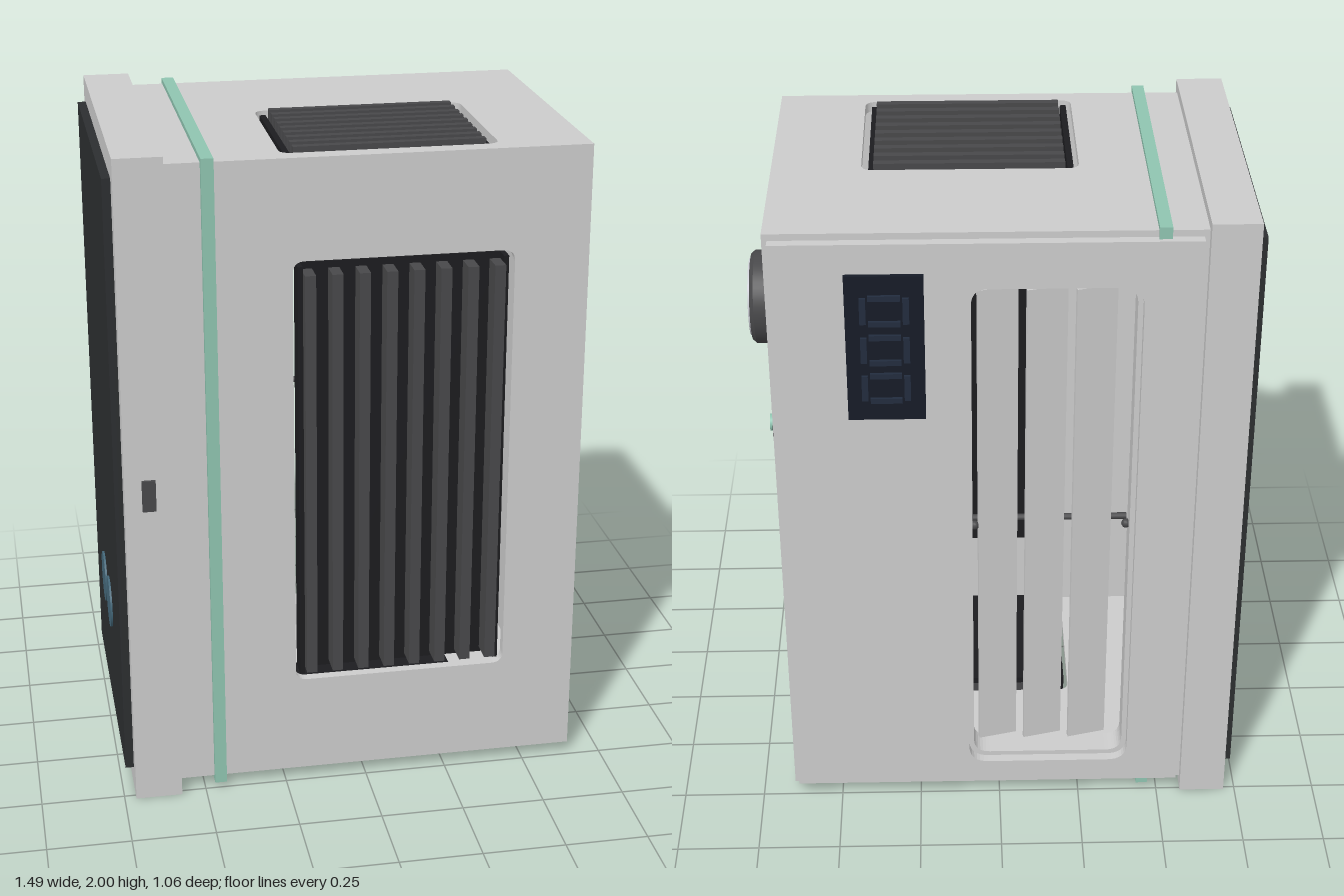
import * as THREE from 'three';

const mat = (color) => new THREE.MeshStandardMaterial({ color });
const GREY = mat(0xcccccc), DARK = mat(0x48484a), BLACK = mat(0x1c1c1f), SLATE = mat(0x2c2e30);
const GREEN = mat(0x8fc4b0), BLUE = mat(0x44687a), FACE = mat(0xcbccd4), SCREEN = mat(0x161b27), SEGMENT = mat(0x222c3e);

export function createModel() {
  const model = new THREE.Group();
  const add = (name, geo, material, parent = model) => {
    const m = new THREE.Mesh(geo, material);
    m.name = name;
    parent.add(m);
    return m;
  };
  // Box given by its limits on each axis
  const box = (name, material, x0, x1, y0, y1, z0, z1, parent) => {
    const m = add(name, new THREE.BoxGeometry(x1 - x0, y1 - y0, z1 - z0), material, parent);
    m.position.set((x0 + x1) / 2, (y0 + y1) / 2, (z0 + z1) / 2);
    return m;
  };
  // Cylinder lying along x
  const disc = (name, material, r, x0, x1, y, z, r1 = r) => {
    const m = add(name, new THREE.CylinderGeometry(r1, r, x1 - x0, 48), material);
    m.rotation.z = -Math.PI / 2;
    m.position.set((x0 + x1) / 2, y, z);
  };
  const trace = (p, x0, x1, y0, y1, r) => {
    if (r === 0) {
      p.moveTo(x0, y0); p.lineTo(x1, y0); p.lineTo(x1, y1); p.lineTo(x0, y1); p.closePath();
      return p;
    }
    p.moveTo(x0 + r, y0);
    p.lineTo(x1 - r, y0); p.quadraticCurveTo(x1, y0, x1, y0 + r);
    p.lineTo(x1, y1 - r); p.quadraticCurveTo(x1, y1, x1 - r, y1);
    p.lineTo(x0 + r, y1); p.quadraticCurveTo(x0, y1, x0, y1 - r);
    p.lineTo(x0, y0 + r); p.quadraticCurveTo(x0, y0, x0 + r, y0);
    return p;
  };
  // Flat panel with a rounded opening, extruded along z
  const panel = (outer, hole, r, depth) => {
    const s = trace(new THREE.Shape(), ...outer, 0);
    s.holes.push(trace(new THREE.Path(), ...hole, r));
    return new THREE.ExtrudeGeometry(s, { depth, bevelEnabled: false, curveSegments: 8 });
  };

  // Housing: hollow box of panels
  const X0 = -0.58, X1 = 0.65, Y0 = 0.035, Y1 = 1.97;
  add('frontPanel', panel([X0, X1, Y0, Y1], [-0.215, 0.43, 0.34, 1.67], 0.035, 0.03), GREY).position.z = 0.455;
  add('rearPanel', panel([X0, X1, Y0, Y1], [-0.385, 0.08, 0.145, 1.795], 0.05, 0.08), GREY).position.z = -0.48;
  add('backPlate', panel([-0.56, 0.635, 0.05, 1.95], [-0.4, 0.095, 0.13, 1.81], 0.06, 0.03), GREY).position.z = -0.51;
  box('sidePanel', GREY, 0.62, X1, Y0, Y1, -0.48, 0.485);
  for (const [name, y] of [['topPanel', Y1 - 0.03], ['bottomPanel', Y0]]) {
    const p = add(name, panel([X0, X1, -0.485, 0.48], [-0.24, 0.39, -0.43, 0.07], 0.035, 0.03), GREY);
    p.rotation.x = -Math.PI / 2;
    p.position.y = y;
  }

  // Front grille
  const front = new THREE.Group();
  front.name = 'frontGrille';
  model.add(front);
  box('grilleBacking', BLACK, -0.2, 0.415, 0.355, 1.65, 0.41, 0.43, front);
  for (const x of [-0.2, 0.4]) box('grilleFrame', BLACK, x, x + 0.015, 0.355, 1.65, 0.42, 0.475, front);
  for (let i = 0; i < 8; i++) {
    const x = -0.167 + i * 0.0788;
    box('grilleBar', DARK, x - 0.016, x + 0.016, 0.37, 1.63, 0.42, 0.5, front);
  }

  // Matching grilles on top and bottom
  for (const [name, mid, dir] of [['topGrille', Y1, 1], ['bottomGrille', Y0, -1]]) {
    const g = new THREE.Group();
    g.name = name;
    model.add(g);
    const span = (a, b) => [Math.min(mid + dir * a, mid + dir * b), Math.max(mid + dir * a, mid + dir * b)];
    box('grilleBacking', BLACK, -0.225, 0.37, ...span(-0.07, -0.05), -0.055, 0.415, g);
    for (const x of [-0.225, 0.352]) box('grilleFrame', BLACK, x, x + 0.018, ...span(-0.06, -0.01), -0.055, 0.415, g);
    for (let i = 0; i < 9; i++) {
      const z = -0.04 + i * 0.0546;
      box('grilleBar', DARK, -0.2, 0.355, ...span(-0.06, 0.011), z - 0.012, z + 0.012, g);
    }
  }

  // Rear louvres turned on upright axes, joined by a rod
  for (const x of [0.005, -0.135, -0.275]) {
    const s = box('louvre', GREY, x - 0.06, x + 0.06, 0.17, 1.77, -0.428, -0.416);
    s.rotation.y = 0.25;
  }
  const rod = add('louvreRod', new THREE.CylinderGeometry(0.01, 0.01, 0.46, 12), DARK);
  rod.rotation.z = Math.PI / 2;
  rod.position.set(-0.152, 0.98, -0.395);
  for (const x of [-0.378, 0.073]) {
    add('rodEnd', new THREE.SphereGeometry(0.014, 12, 8), DARK).position.set(x, 0.98, -0.435);
  }

  // End cap with dark panel, two discs and a latch
  box('endCap', GREY, -0.715, -0.575, 0, 2, -0.51, 0.52);
  box('endPanel', SLATE, -0.74, -0.715, 0.075, 1.93, -0.45, 0.46);
  for (const z of [-0.095, 0.09]) disc('endDisc', BLUE, 0.08, -0.746, -0.74, 0.46, z);
  box('latch', DARK, -0.665, -0.625, 0.955, 1.05, 0.515, 0.53);

  // Band around the housing
  const band = add('band', panel([-0.505, 0.495, 0.02, 1.985], [-0.475, 0.47, 0.045, 1.96], 0.01, 0.036), GREEN);
  band.rotation.y = Math.PI / 2;
  band.position.x = -0.471;

  // Dial and push button on the side
  const DY = 1.55, DZ = -0.043;
  disc('dialBody', DARK, 0.14, X1, 0.715, DY, DZ);
  disc('dialRim', DARK, 0.14, 0.715, 0.727, DY, DZ, 0.13);
  disc('dialFace', FACE, 0.116, 0.72, 0.733, DY, DZ);
  box('dialPointer', DARK, 0.73, 0.741, DY - 0.01, DY + 0.01, -0.01, 0.065);
  disc('buttonBase', DARK, 0.06, X1, 0.688, 1.11, DZ);
  disc('buttonCap', GREEN, 0.027, 0.688, 0.699, 1.11, DZ);

  // Display on the back with raised indicator bars
  box('display', SCREEN, 0.21, 0.43, 1.405, 1.86, -0.524, -0.51);
  for (const y of [1.755, 1.632, 1.51]) {
    for (const x of [0.26, 0.38]) box('indicatorBar', SEGMENT, x - 0.009, x + 0.009, y - 0.04, y + 0.04, -0.533, -0.524);
    for (const d of [-0.04, 0.04]) box('indicatorBar', SEGMENT, 0.275, 0.365, y + d - 0.008, y + d + 0.008, -0.533, -0.524);
  }
  return model;
}
